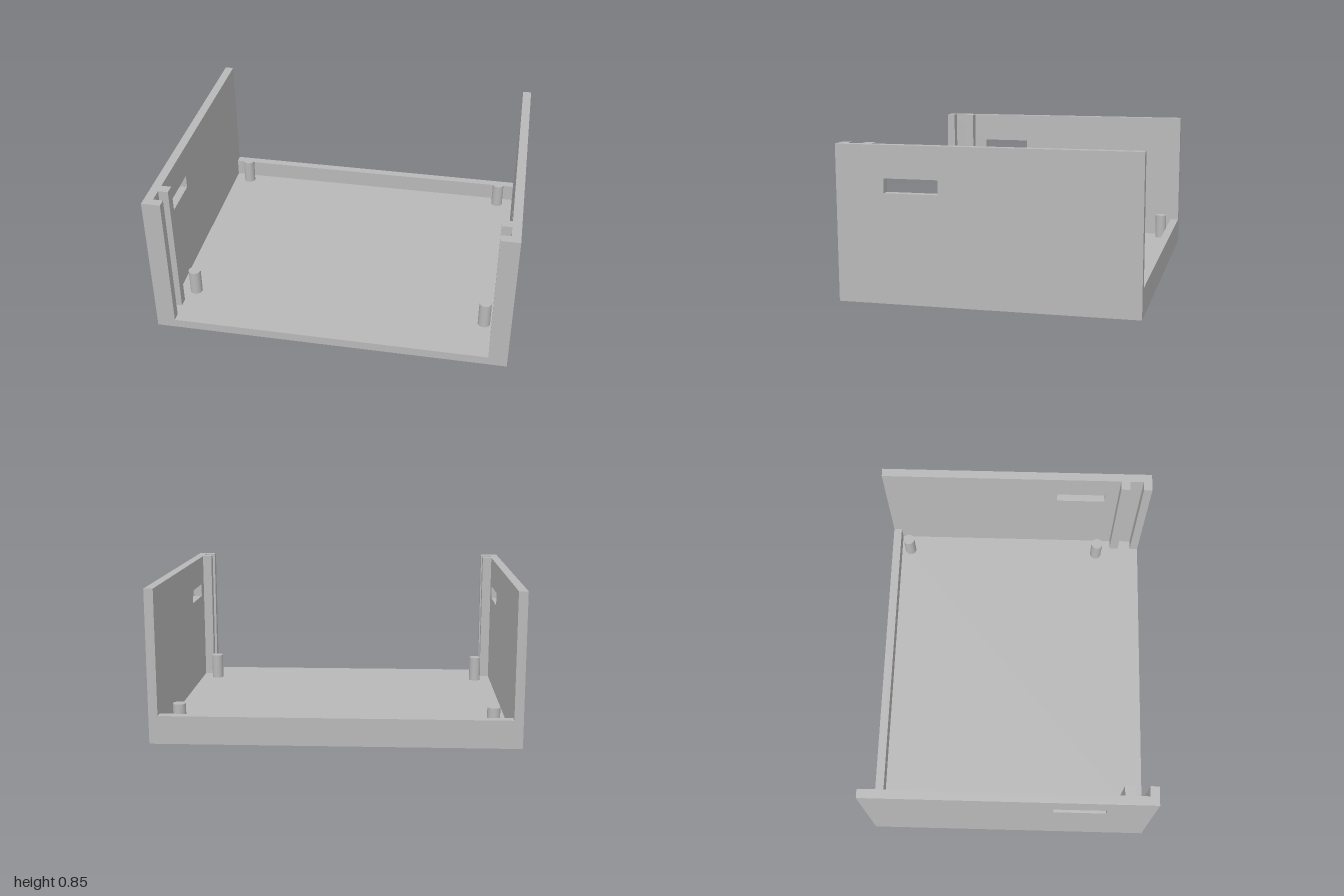
import * as THREE from 'three';

const W = 2, D = 1.62, H = 0.845, T = 0.05; // width, depth, wall height, thickness

export function createModel() {
  const model = new THREE.Group();
  model.name = 'enclosureTray';
  const grey = new THREE.MeshStandardMaterial({ color: 0xb8b8b8 });
  grey.name = 'light grey plastic';

  const add = (name, geometry) => {
    const mesh = new THREE.Mesh(geometry, grey);
    mesh.name = name;
    model.add(mesh);
  };
  // Box given by its lower and upper limits on each axis
  const addBox = (name, x0, x1, y0, y1, z0, z1) =>
    add(name, new THREE.BoxGeometry(x1 - x0, y1 - y0, z1 - z0)
      .translate((x0 + x1) / 2, (y0 + y1) / 2, (z0 + z1) / 2));

  // Floor and low back lip, set between the side walls
  addBox('floor', -W / 2 + T, W / 2 - T, 0, T, -D / 2, D / 2);
  addBox('backLip', -W / 2 + T, W / 2 - T, T, 0.155, -D / 2, -D / 2 + T);

  // Side wall profile with a vent slot; profile x becomes -z after turning
  const profile = new THREE.Shape([
    [-D / 2, 0], [D / 2, 0], [D / 2, H], [-D / 2, H],
  ].map(([x, y]) => new THREE.Vector2(x, y)));
  profile.holes.push(new THREE.Path([
    [-0.545, 0.592], [-0.545, 0.67], [-0.25, 0.67], [-0.25, 0.592],
  ].map(([x, y]) => new THREE.Vector2(x, y))));

  for (const [side, s] of [['left', 1], ['right', -1]]) {
    add(side + 'Wall', new THREE.ExtrudeGeometry(profile, { depth: T, bevelEnabled: false })
      .rotateY(Math.PI / 2).translate(s * (W / 2 - T / 2) - T / 2, 0, 0));

    // Two upright rails forming the groove for a sliding front panel
    const [x0, x1] = [s * 0.895, s * 0.95].sort((a, b) => a - b);
    addBox(side + 'FrontRail', x0, x1, T, H, 0.76, D / 2);
    addBox(side + 'InnerRail', x0, x1, T, H, 0.625, 0.68);

    // Standoff pegs
    for (const [end, z] of [['Front', 0.53], ['Back', -0.703]]) {
      add(side + end + 'Peg', new THREE.CylinderGeometry(0.035, 0.035, 0.15, 32)
        .translate(s * 0.852, T + 0.075, z));
    }
  }
  return model;
}
